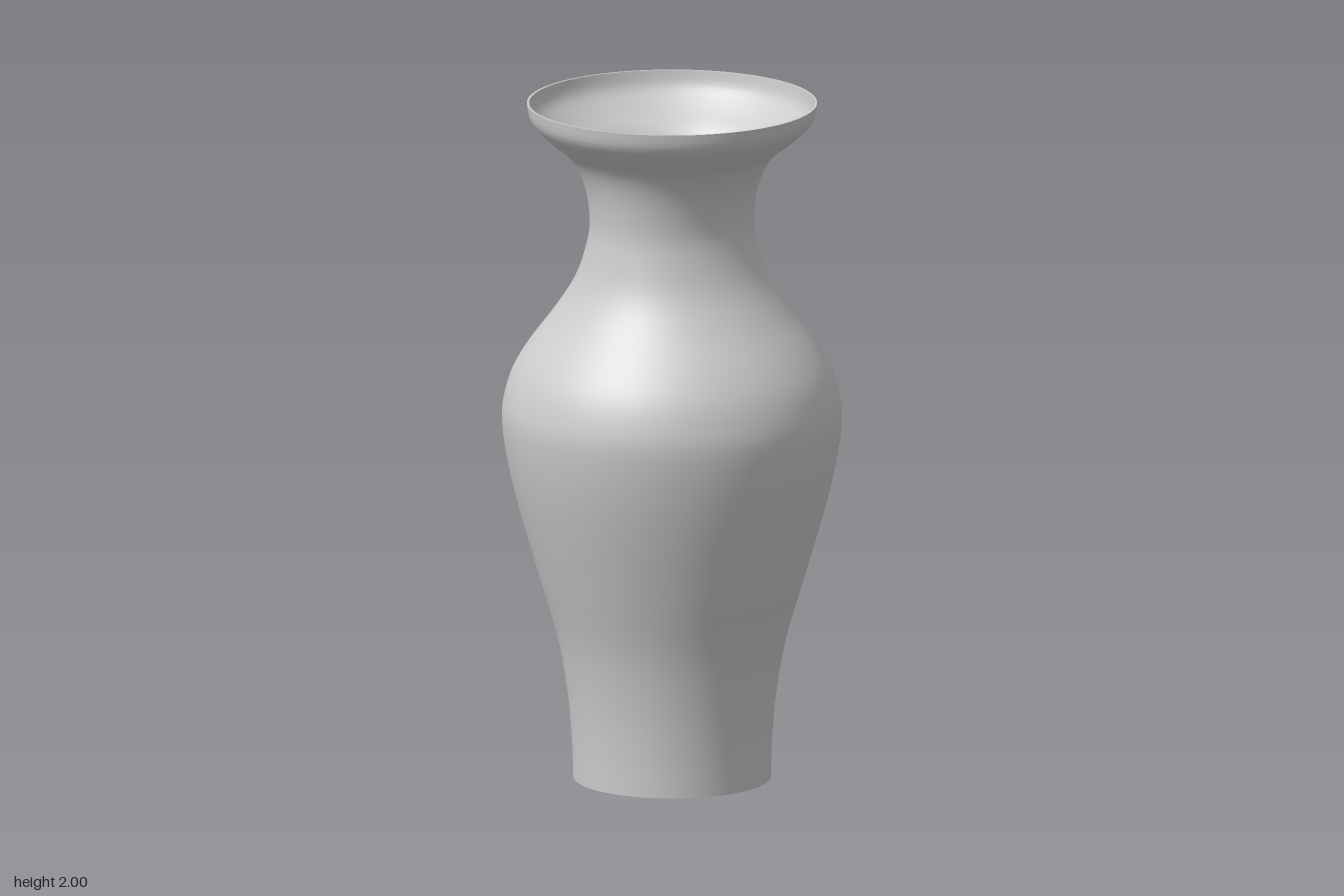
import * as THREE from 'three';
import { toCreasedNormals } from 'three/addons/utils/BufferGeometryUtils.js';

// Outer wall as [radius, height], from the foot to the rim
const PROFILE = [
  [0.286, 0], [0.29, 0.12], [0.303, 0.26], [0.332, 0.42], [0.385, 0.6],
  [0.443, 0.8], [0.477, 0.945], [0.492, 1.06], [0.486, 1.13], [0.461, 1.21],
  [0.413, 1.29], [0.345, 1.38], [0.276, 1.485], [0.237, 1.59], [0.227, 1.67],
  [0.245, 1.765], [0.29, 1.845], [0.358, 1.9], [0.408, 1.95], [0.42, 2],
];
const WALL = 0.007;
const FLOOR = 0.02;

// The neck is slightly oval: deeper in z than it is wide in x
function neckDepth(y) {
  const t = Math.min(1, Math.abs(y - 1.67) / 0.3);
  return 1 + 0.07 * (1 + Math.cos(Math.PI * t));
}

export function createModel() {
  const group = new THREE.Group();
  group.name = 'vase';

  const curve = new THREE.SplineCurve(PROFILE.map(([r, y]) => new THREE.Vector2(r, y)));
  const outer = curve.getPoints(76);

  // Inner wall runs back down from the rim to a flat floor
  const inner = outer
    .filter((p) => p.y > FLOOR)
    .map((p) => new THREE.Vector2(p.x - WALL, p.y))
    .reverse();
  const floorRadius = inner[inner.length - 1].x;

  const section = [
    new THREE.Vector2(0, 0),
    ...outer,
    ...inner,
    new THREE.Vector2(floorRadius, FLOOR),
    new THREE.Vector2(0, FLOOR),
  ];
  const lathe = new THREE.LatheGeometry(section, 96);

  // Stretch the neck in z
  const pos = lathe.attributes.position;
  for (let i = 0; i < pos.count; i++) {
    pos.setZ(i, pos.getZ(i) * neckDepth(pos.getY(i)));
  }

  const body = new THREE.Mesh(
    toCreasedNormals(lathe, Math.PI / 4),
    new THREE.MeshStandardMaterial({ color: 0xcccccc })
  );
  body.name = 'vaseBody';
  group.add(body);
  return group;
}
